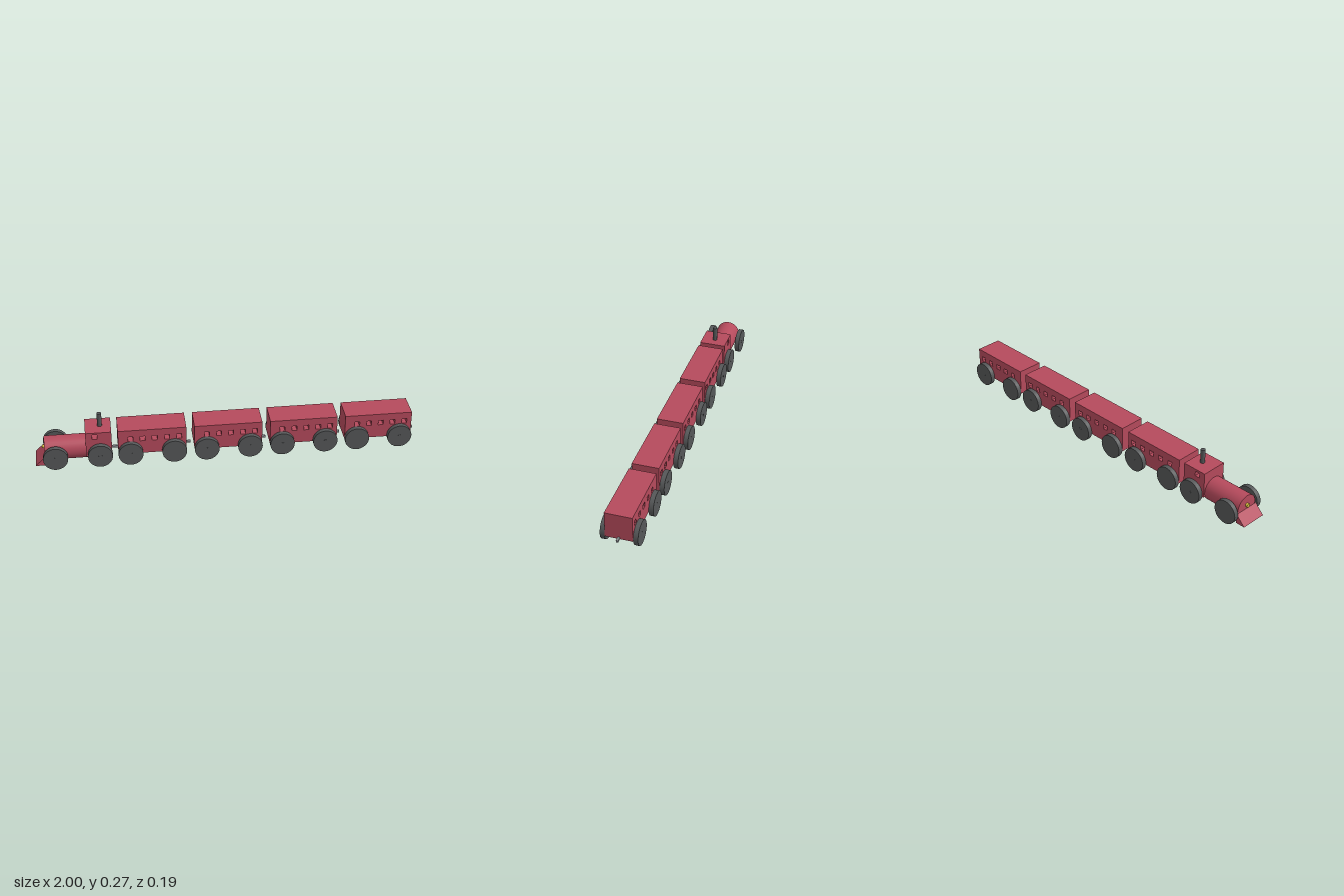
import * as THREE from 'three';

const red = new THREE.MeshStandardMaterial({ color: 0xb54a5c });
const dark = new THREE.MeshStandardMaterial({ color: 0x555758 });
const grey = new THREE.MeshStandardMaterial({ color: 0x8c9094 });
const yellow = new THREE.MeshStandardMaterial({ color: 0xd8c040 });

const HALF_W = 0.07, FLOOR = 0.055, ROOF = 0.195, WHEEL_R = 0.064;

function add(parent, name, geometry, material, x = 0, y = 0, z = 0) {
  const mesh = new THREE.Mesh(geometry, material);
  mesh.name = name;
  mesh.position.set(x, y, z);
  parent.add(mesh);
  return mesh;
}

// Side profile extruded across the full width
function extrudeAcross(shape) {
  return new THREE.ExtrudeGeometry(shape, { depth: HALF_W * 2, bevelEnabled: false }).translate(0, 0, -HALF_W);
}

// Box body with square windows running through it
function bodyGeometry(x0, x1, windows, windowY) {
  const shape = new THREE.Shape();
  shape.moveTo(x0, FLOOR).lineTo(x1, FLOOR).lineTo(x1, ROOF).lineTo(x0, ROOF).closePath();
  const h = 0.0135;
  for (const x of windows) {
    const hole = new THREE.Path();
    hole.moveTo(x - h, windowY - h).lineTo(x - h, windowY + h)
      .lineTo(x + h, windowY + h).lineTo(x + h, windowY - h).closePath();
    shape.holes.push(hole);
  }
  return extrudeAcross(shape);
}

const wheelGeometry = new THREE.CylinderGeometry(WHEEL_R, WHEEL_R, 0.024, 32).rotateX(Math.PI / 2);
const axleGeometry = new THREE.CylinderGeometry(0.01, 0.01, 0.191, 12).rotateX(Math.PI / 2);

// Two wheels joined by an axle
function addWheelSet(parent, x) {
  const set = new THREE.Group();
  set.name = 'wheelSet';
  set.position.set(x, 0.0655, 0);
  add(set, 'axle', axleGeometry, dark);
  for (const side of [1, -1]) add(set, 'wheel', wheelGeometry, dark, 0, 0, side * 0.083);
  parent.add(set);
}

// Coupling bar sticking out behind a vehicle
function addCoupler(parent, x) {
  add(parent, 'coupler', new THREE.BoxGeometry(0.045, 0.011, 0.011), grey, x + 0.0045, 0.0605, 0);
}

function createLocomotive() {
  const loco = new THREE.Group();
  loco.name = 'locomotive';
  add(loco, 'cab', bodyGeometry(-0.737, -0.603, [-0.69], 0.17), red);
  add(loco, 'boiler', new THREE.CylinderGeometry(0.063, 0.063, 0.22, 32).rotateZ(Math.PI / 2), red, -0.84, 0.08, 0);
  add(loco, 'chimney', new THREE.CylinderGeometry(0.012, 0.012, 0.09, 20), dark, -0.66, 0.225, 0);
  add(loco, 'headlight', new THREE.CylinderGeometry(0.01, 0.01, 0.02, 16).rotateZ(Math.PI / 2), yellow, -0.952, 0.09, 0);

  // Sloping wedge at the nose
  const wedge = new THREE.Shape();
  wedge.moveTo(-1, 0.017).lineTo(-0.948, 0.017).lineTo(-0.948, 0.069).closePath();
  add(loco, 'cowcatcher', extrudeAcross(wedge), red);

  addWheelSet(loco, -0.895);
  addWheelSet(loco, -0.665);
  addCoupler(loco, -0.59);
  return loco;
}

function createCarriage(x) {
  const carriage = new THREE.Group();
  carriage.name = 'carriage';
  carriage.position.x = x;
  const windows = [0, 1, 2, 3, 4].map((i) => 0.064 + i * 0.063);
  add(carriage, 'carriageBody', bodyGeometry(0, 0.354, windows, 0.143), red);
  addWheelSet(carriage, 0.063);
  addWheelSet(carriage, 0.29);
  addCoupler(carriage, 0.354);
  return carriage;
}

export function createModel() {
  const train = new THREE.Group();
  train.name = 'train';
  train.add(createLocomotive());
  for (let i = 0; i < 4; i++) train.add(createCarriage(-0.571 + i * 0.3963));
  return train;
}
